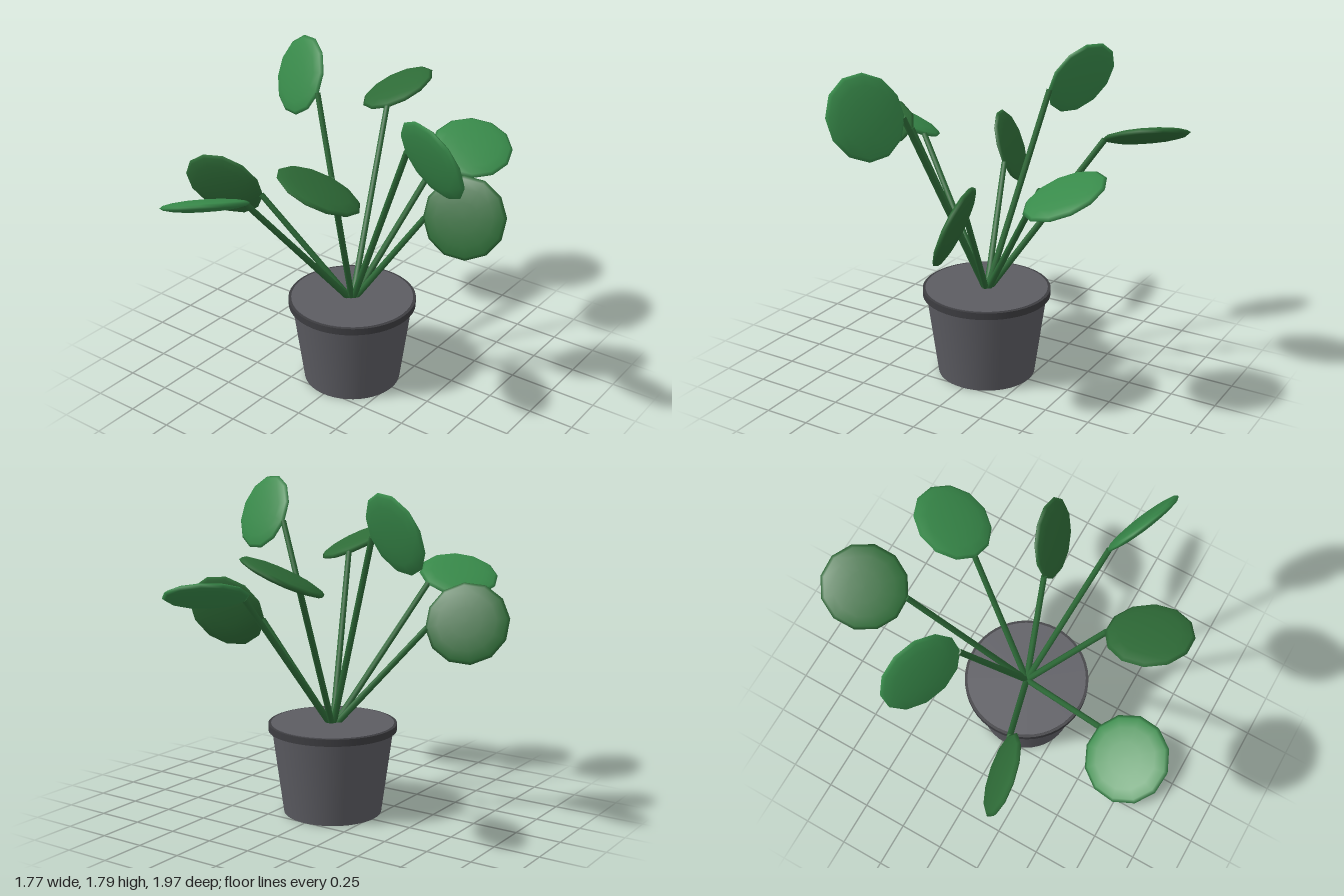
import * as THREE from 'three';

const material = (name, color) => {
  const m = new THREE.MeshStandardMaterial({ color });
  m.name = name;
  return m;
};

const potGrey = material('pot grey', 0x5c5c62);
const rimGrey = material('rim dark grey', 0x3d3d41);
const stemGreen = material('stem green', 0x2d6a37);
const lightLeaf = material('light leaf green', 0x388a4a);
const darkLeaf = material('dark leaf green', 0x2e6b37);

const LEAF_LENGTH = 0.225; // half length along the stem direction
const LEAF_PITCH = 0.16; // upward tilt of each leaf
const STEM_BASE = 0.47;

function addMesh(parent, name, geometry, mat) {
  const mesh = new THREE.Mesh(geometry, mat);
  mesh.name = name;
  parent.add(mesh);
  return mesh;
}

// Tapered pot with an overhanging rim and a flat top
function buildPot() {
  const pot = new THREE.Group();
  pot.name = 'pot';
  addMesh(pot, 'potBody', new THREE.CylinderGeometry(0.332, 0.268, 0.48, 48), potGrey).position.y = 0.24;
  addMesh(pot, 'potRim', new THREE.CylinderGeometry(0.35, 0.35, 0.038, 48), rimGrey).position.y = 0.481;
  addMesh(pot, 'potTop', new THREE.CylinderGeometry(0.335, 0.335, 0.004, 48), potGrey).position.y = 0.501;
  return pot;
}

// One stalk, built along local +x and then turned around the pot
function buildStalk(i, leafGeometry) {
  const stalk = new THREE.Group();
  stalk.name = 'stalk';
  stalk.rotation.y = -(0.4 + 0.8 * i);

  const reach = [0.724, 0.613, 0.833][i % 3];
  const height = 1.585 - 0.168 * (i % 4);

  // Leaf: a flattened low-poly ellipsoid, rolled about its own length
  const leaf = addMesh(stalk, 'leaf', leafGeometry, i % 2 ? darkLeaf : lightLeaf);
  leaf.position.set(reach, height, 0);
  leaf.rotation.set((i % 4 - 1.5) * 0.8, 0, LEAF_PITCH, 'ZYX');

  // Stem: from the pot centre to the near edge of the leaf
  const base = new THREE.Vector3(0, STEM_BASE, 0);
  const tip = new THREE.Vector3(
    reach - 0.215 * Math.cos(LEAF_PITCH), height - 0.215 * Math.sin(LEAF_PITCH), 0);
  const along = tip.clone().sub(base);
  const stem = addMesh(stalk, 'stem',
    new THREE.CylinderGeometry(0.016, 0.018, along.length(), 8), stemGreen);
  stem.position.copy(base).lerp(tip, 0.5);
  stem.quaternion.setFromUnitVectors(new THREE.Vector3(0, 1, 0), along.normalize());
  return stalk;
}

export function createModel() {
  const model = new THREE.Group();
  model.name = 'pottedPlant';
  const plant = new THREE.Group();
  plant.name = 'plant';
  plant.position.z = 0.01;
  model.add(plant);

  plant.add(buildPot());
  const leafGeometry = new THREE.SphereGeometry(1, 12, 8).scale(LEAF_LENGTH, 0.032, 0.22);
  for (let i = 0; i < 8; i++) plant.add(buildStalk(i, leafGeometry));
  return model;
}
